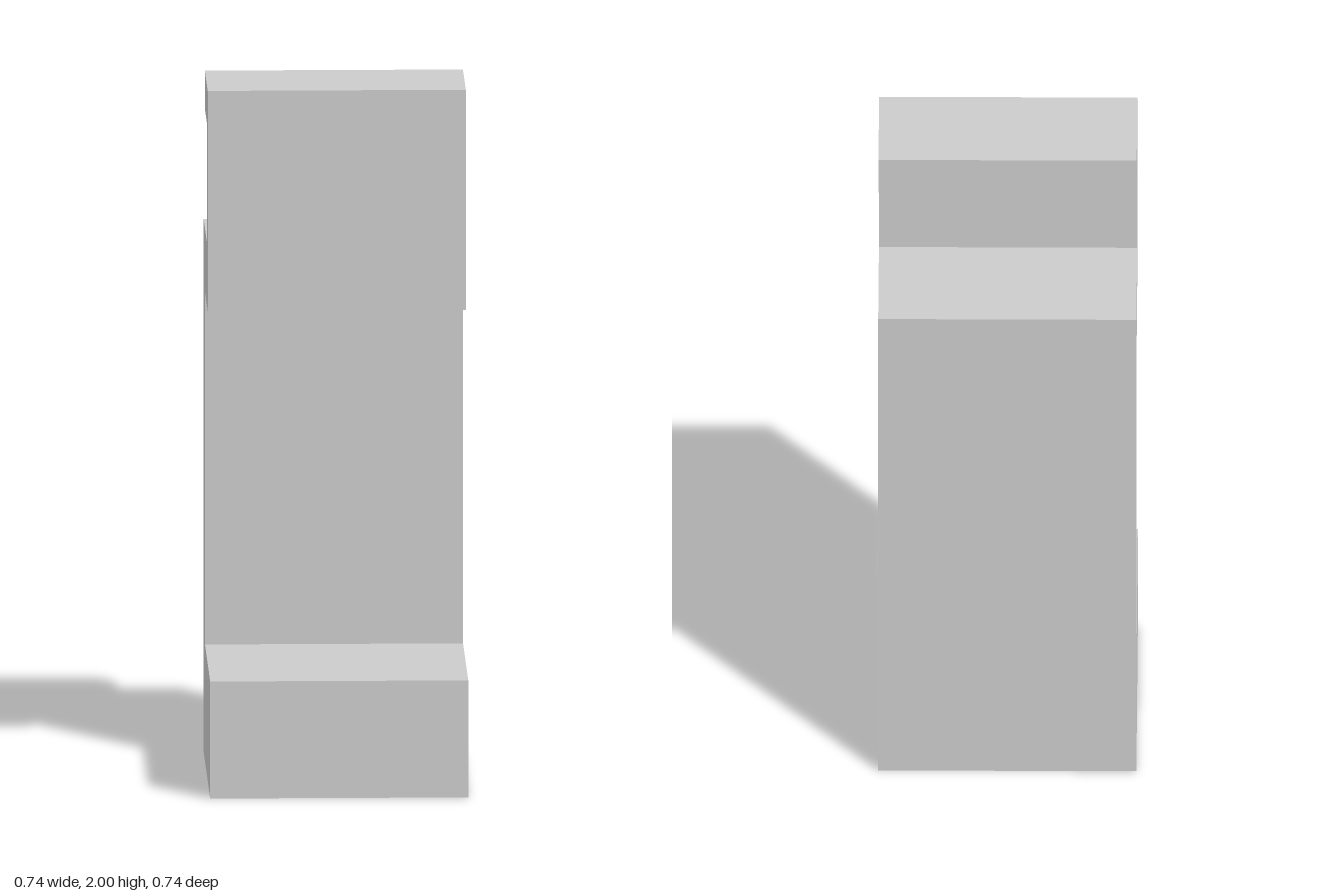
import * as THREE from 'three';

const WIDTH = 0.736;

// Side profile as [z, y], counter-clockwise from the back of the base
const PROFILE = [
  [-0.368, 0], [0.368, 0], [0.368, 0.339],   // base block
  [-0.224, 0.339], [-0.224, 1.362],          // front of the upright
  [0.092, 1.362], [0.092, 2],                // front plate
  [-0.233, 2], [-0.233, 1.889],              // top lip
  [0.003, 1.889], [0.003, 1.545],            // rear slot
  [-0.368, 1.545],                           // shelf on the upright
];

export function createModel() {
  const group = new THREE.Group();
  group.name = 'standBracket';

  const shape = new THREE.Shape(PROFILE.map(([z, y]) => new THREE.Vector2(z, y)));
  const geometry = new THREE.ExtrudeGeometry(shape, { depth: WIDTH, bevelEnabled: false });
  // Centre the width, then turn the profile into the side plane
  geometry.translate(0, 0, -WIDTH / 2);
  geometry.rotateY(-Math.PI / 2);

  const material = new THREE.MeshStandardMaterial({ color: 0xcccccc, flatShading: true });
  const body = new THREE.Mesh(geometry, material);
  body.name = 'bracketBody';
  group.add(body);
  return group;
}
